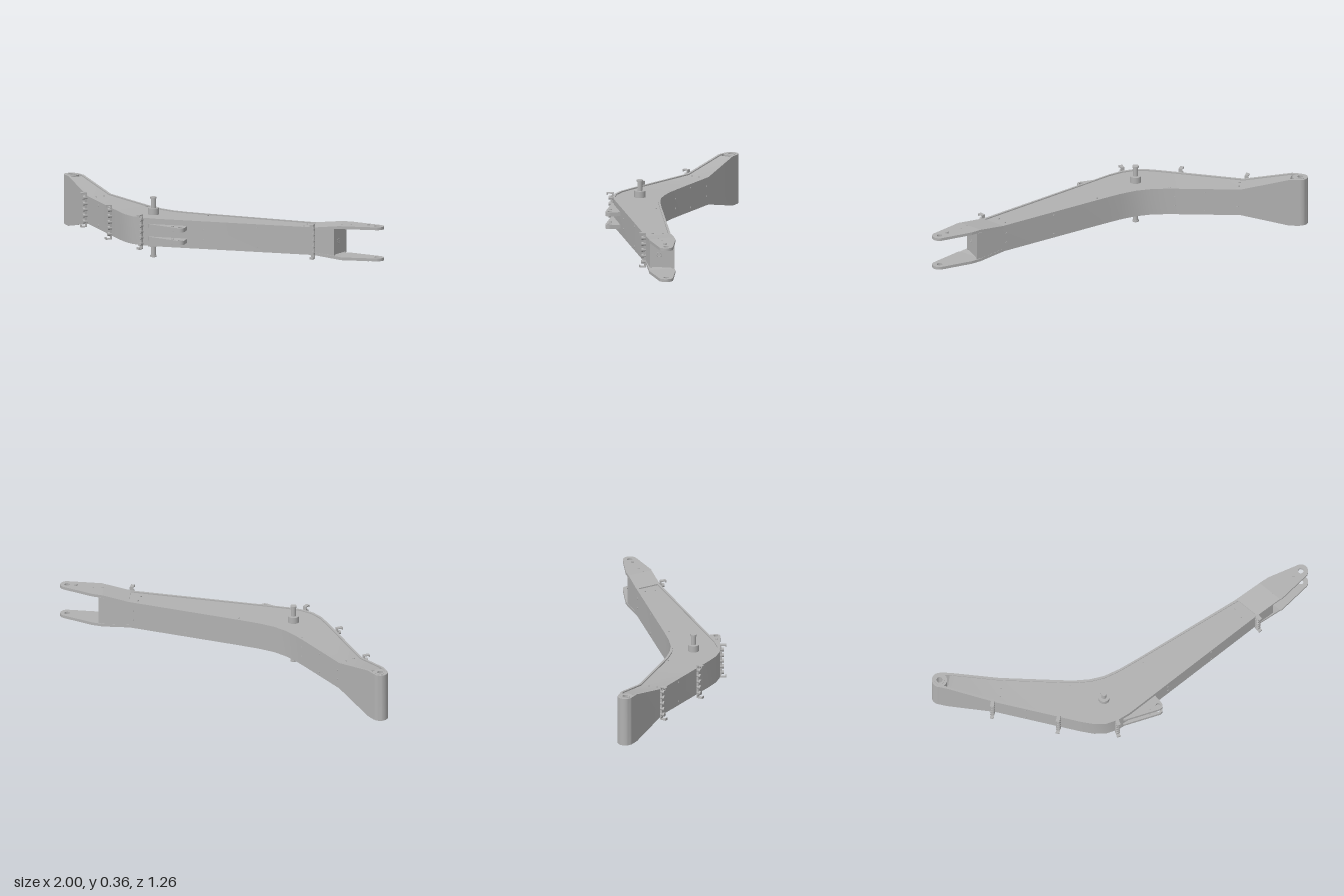
import * as THREE from 'three';
import { toCreasedNormals } from 'three/addons/utils/BufferGeometryUtils.js';

const steel = new THREE.MeshStandardMaterial({ color: 0xb2b2b2 });
steel.name = 'grey steel';

// Boom plan, foot to nose: back x, back z, front x, front z, half height
const PLAN = [
  [-0.919, -0.618, -0.995, -0.57, 0.146],
  [-0.881, -0.571, -0.967, -0.517, 0.146],
  [-0.70, -0.345, -0.83, -0.26, 0.08],
  [-0.47, -0.05, -0.64, 0.12, 0.08],
  [-0.42, 0.01, -0.60, 0.20, 0.08],
  [-0.36, 0.07, -0.56, 0.27, 0.08],
  [-0.29, 0.12, -0.51, 0.325, 0.08],
  [-0.20, 0.16, -0.45, 0.36, 0.08],
  [-0.08, 0.20, -0.37, 0.385, 0.08],
  [0.58, 0.405, 0.58, 0.563, 0.08],
  [0.765, 0.455, 0.70, 0.585, 0.08],
];

// Loft of box sections: [back x, back z, front x, front z, low y, high y]
function loft(rows) {
  const sec = rows.map(([bx, bz, fx, fz, lo, hi]) => [[bx, hi, bz], [fx, hi, fz], [fx, lo, fz], [bx, lo, bz]]);
  const pos = [];
  const quad = (a, b, c, d) => pos.push(...a, ...b, ...c, ...a, ...c, ...d);
  for (let i = 0; i < sec.length - 1; i++) {
    for (let j = 0; j < 4; j++) {
      const k = (j + 1) % 4;
      quad(sec[i][j], sec[i][k], sec[i + 1][k], sec[i + 1][j]);
    }
  }
  const s = sec[0], e = sec[sec.length - 1];
  quad(s[0], s[3], s[2], s[1]);
  quad(e[0], e[1], e[2], e[3]);
  const g = new THREE.BufferGeometry();
  g.setAttribute('position', new THREE.Float32BufferAttribute(pos, 3));
  return toCreasedNormals(g, 0.4);
}

// Horizontal plate from a plan shape, between two heights
function plate(shape, lo, hi) {
  const g = new THREE.ExtrudeGeometry(shape, { depth: hi - lo, bevelEnabled: false, curveSegments: 20 });
  return g.rotateX(Math.PI / 2).translate(0, hi, 0);
}

function add(parent, name, geo, x = 0, y = 0, z = 0) {
  const m = new THREE.Mesh(geo, steel);
  m.name = name;
  m.position.set(x, y, z);
  parent.add(m);
  return m;
}

// Vertical tube or stepped ring
function tube(rIn, rOut, h) {
  const p = [[rIn, -h], [rOut, -h], [rOut, h], [rIn, h], [rIn, -h]].map(([a, b]) => new THREE.Vector2(a, b));
  return toCreasedNormals(new THREE.LatheGeometry(p, 32).toNonIndexed(), 0.5);
}

const holeAt = (x, z, r) => new THREE.Path().absarc(x, z, r, 0, Math.PI * 2, true);

// Point and outward normal on one long edge of the plan
function onEdge(back, i, t) {
  const o = back ? 0 : 2, a = PLAN[i], b = PLAN[i + 1];
  const dx = b[o] - a[o], dz = b[o + 1] - a[o + 1], l = Math.hypot(dx, dz), s = back ? 1 : -1;
  return { x: a[o] + dx * t, z: a[o + 1] + dz * t, turn: Math.atan2(s * dz / l, -s * dx / l) };
}

// Hose clamp rail with hooked ends, facing local +z
function hoseClamp() {
  const g = new THREE.Group();
  g.name = 'hoseClamp';
  add(g, 'clampRail', new THREE.BoxGeometry(0.018, 0.17, 0.014), 0, 0, 0.007);
  for (let i = -2; i <= 2; i++) {
    add(g, 'clampBolt', new THREE.CylinderGeometry(0.012, 0.012, 0.026, 12).rotateX(Math.PI / 2), 0, i * 0.036, 0.013);
  }
  for (const s of [-1, 1]) {
    add(g, 'hookFoot', new THREE.BoxGeometry(0.022, 0.03, 0.006), 0, s * 0.089, 0.004);
    add(g, 'hookArm', new THREE.BoxGeometry(0.022, 0.006, 0.036), 0, s * 0.101, 0.019);
    add(g, 'hookLip', new THREE.BoxGeometry(0.022, 0.014, 0.006), 0, s * 0.097, 0.036);
  }
  return g;
}

export function createModel() {
  const root = new THREE.Group();
  root.name = 'boom';
  const arm = new THREE.Group();
  arm.name = 'boomArm';
  arm.position.y = 0.18;
  root.add(arm);

  // Box body, slightly inside the two edge flanges
  const inset = (r, d) => {
    const w = Math.hypot(r[2] - r[0], r[3] - r[1]);
    return [(r[2] - r[0]) * d / w, (r[3] - r[1]) * d / w];
  };
  add(arm, 'boxBody', loft(PLAN.slice(1).map(r => {
    const [x, z] = inset(r, 0.006);
    return [r[0] + x, r[1] + z, r[2] - x, r[3] - z, -r[4] + 0.004, r[4] - 0.004];
  })));
  add(arm, 'backFlange', loft(PLAN.map(r => {
    const [x, z] = inset(r, 0.014);
    return [r[0], r[1], r[0] + x, r[1] + z, -r[4] - 0.003, r[4] + 0.003];
  })));
  add(arm, 'frontFlange', loft(PLAN.map(r => {
    const [x, z] = inset(r, 0.014);
    return [r[2] - x, r[3] - z, r[2], r[3], -r[4] - 0.003, r[4] + 0.003];
  })));

  // Foot tube with raised bushing
  add(arm, 'footTube', tube(0.028, 0.045, 0.148), -0.955, 0, -0.59);
  add(arm, 'footBushing', tube(0.017, 0.029, 0.15), -0.955, 0, -0.59);

  // Cylinder pin through the bend
  add(arm, 'pinCollar', new THREE.CylinderGeometry(0.033, 0.033, 0.23, 32), -0.4, 0, 0.21);
  add(arm, 'pin', new THREE.CylinderGeometry(0.015, 0.015, 0.358, 24), -0.4, 0, 0.21);

  const tip = new THREE.Shape();
  tip.moveTo(0.74, 0.447);
  tip.lineTo(0.80, 0.463);
  tip.lineTo(0.973, 0.547);
  tip.absarc(0.955, 0.585, 0.042, -1.13, 1.5, false);
  tip.lineTo(0.75, 0.61);
  tip.lineTo(0.74, 0.604);
  tip.holes.push(holeAt(0.955, 0.583, 0.016));

  // Ear plates of the cylinder bracket under the bend
  const ear = new THREE.Shape();
  ear.moveTo(-0.42, 0.365);
  ear.lineTo(-0.18, 0.41);
  ear.lineTo(-0.192, 0.48);
  ear.absarc(-0.217, 0.475, 0.025, 0.2, 2.1, false);
  ear.lineTo(-0.41, 0.385);
  ear.holes.push(holeAt(-0.217, 0.473, 0.014));

  for (const s of [-1, 1]) {
    const span = (a, b) => (s > 0 ? [a, b] : [-b, -a]);
    add(arm, 'pinCap', new THREE.CylinderGeometry(0.019, 0.019, 0.01, 24), -0.4, s * 0.175, 0.21);

    // Nose fork cheek: splayed root, then flat tip
    add(arm, 'forkRoot', loft([
      [0.58, 0.404, 0.58, 0.564, ...span(0.066, 0.083)],
      [0.74, 0.447, 0.74, 0.604, ...span(0.085, 0.102)],
    ]));
    add(arm, 'forkTip', plate(tip, ...span(0.085, 0.102)));
    add(arm, 'forkStop', new THREE.CylinderGeometry(0.008, 0.008, 0.012, 12), 0.903, s * 0.106, 0.57);
    add(arm, 'bracketEar', plate(ear, ...span(0.026, 0.05)));
    add(arm, 'bracketStop', new THREE.CylinderGeometry(0.009, 0.009, 0.034, 12), -0.265, s * 0.038, 0.45);

    // Small studs on the side plates
    for (const [x, z] of [[-0.075, 0.235], [0.53, 0.435], [0.515, 0.495], [-0.46, 0.0], [-0.74, -0.30], [-0.78, -0.27]]) {
      add(arm, 'sideStud', new THREE.CylinderGeometry(0.005, 0.005, 0.008, 10), x, s * 0.078, z);
    }
    for (const x of [0.745, 0.8]) {
      add(arm, 'forkStud', new THREE.CylinderGeometry(0.005, 0.005, 0.006, 10), x, s * 0.102, 0.55);
    }
  }

  // Studs on the flanges: back edge?, plan segment, position, height
  const studs = [
    [true, 2, 0.05, 0.03], [true, 2, 0.56, 0.06], [true, 3, 0.17, 0.03], [true, 8, 0.49, 0.06], [true, 8, 0.97, 0.03],
    [false, 2, 0.42, 0.06], [false, 2, 0.9, 0.03], [false, 8, 0.3, 0.03], [false, 8, 0.64, 0.06],
  ];
  for (const [back, i, t, y] of studs) {
    const p = onEdge(back, i, t);
    for (const s of [-1, 1]) {
      const geo = new THREE.CylinderGeometry(0.006, 0.006, 0.006, 10).rotateX(Math.PI / 2);
      add(arm, 'flangeStud', geo, p.x, s * y, p.z).rotation.y = p.turn;
    }
  }

  // Hose clamps along the front flange
  for (const [i, t] of [[1, 0.94], [2, 0.9], [6, 0.9], [8, 0.995]]) {
    const p = onEdge(false, i, t), c = hoseClamp();
    c.position.set(p.x, 0, p.z);
    c.rotation.y = p.turn;
    arm.add(c);
  }

  // Port ring on the nose end plate
  add(arm, 'portRing', new THREE.TorusGeometry(0.013, 0.004, 8, 20), 0.722, 0, 0.535).rotation.y = 1.11;
  return root;
}
